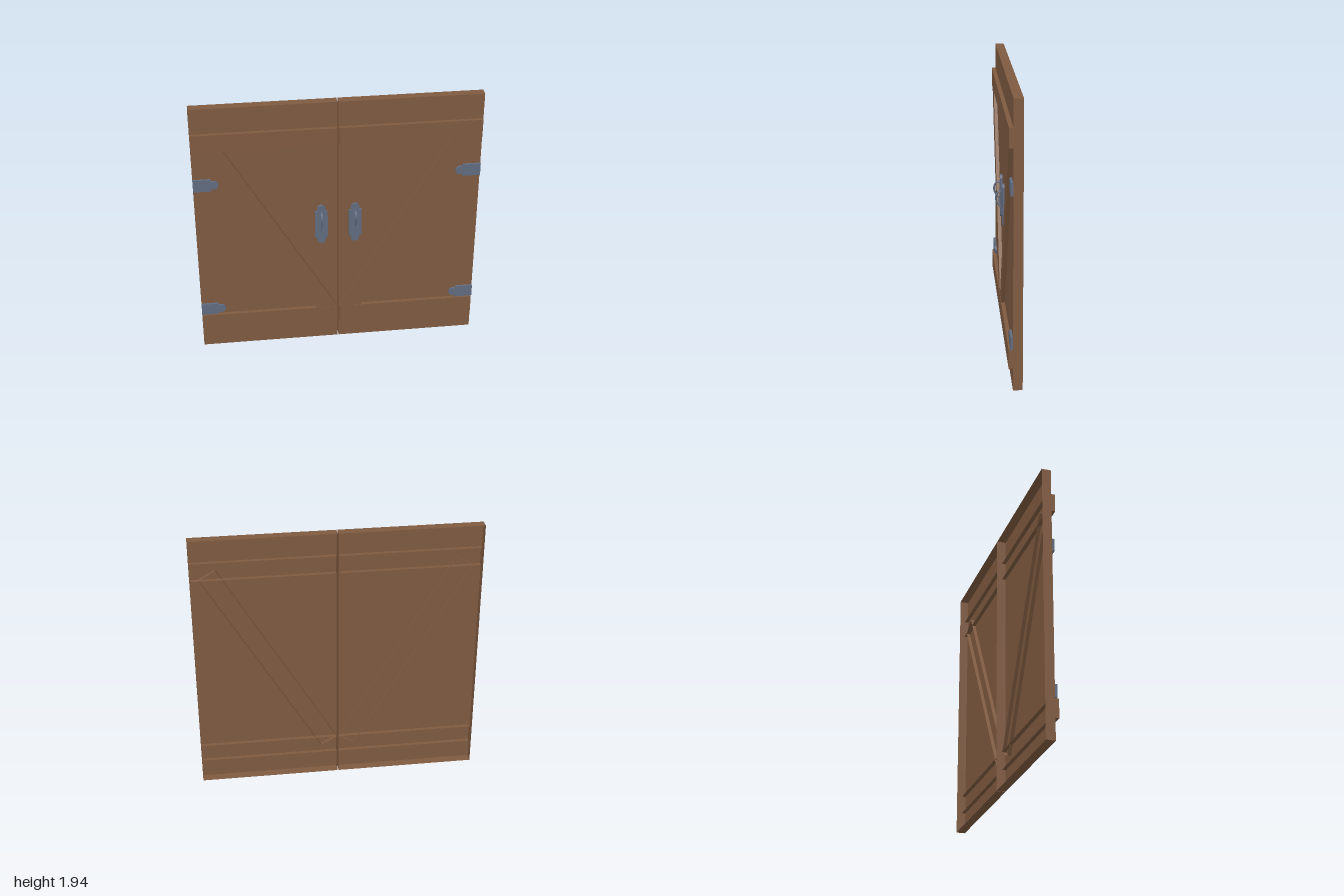
import * as THREE from 'three';

const wood = new THREE.MeshStandardMaterial({ color: 0x7f5a40, side: THREE.DoubleSide });
const metal = new THREE.MeshStandardMaterial({ color: 0x616c80, side: THREE.DoubleSide });

function add(parent, name, geometry, material, x, y, z) {
  const mesh = new THREE.Mesh(geometry, material);
  mesh.name = name;
  mesh.position.set(x, y, z);
  parent.add(mesh);
  return mesh;
}

// Box without its rear face, spanning zBack to zFront
function openBox(w, h, zBack, zFront) {
  const g = new THREE.BoxGeometry(w, h, zFront - zBack);
  g.setIndex(Array.from(g.index.array).slice(0, 30));
  g.clearGroups();
  g.translate(0, 0, (zFront + zBack) / 2);
  return g;
}

// Flat plate along x with a stepped, rounded tip at one end or both
function plate(start, end, bothEnds) {
  const half = 0.045, neck = 0.03, shoulder = 0.02;
  const s = new THREE.Shape();
  s.moveTo(start, -half);
  s.lineTo(end, -half);
  s.lineTo(end, -neck);
  s.lineTo(end + shoulder, -neck);
  s.absarc(end + shoulder, 0, neck, -Math.PI / 2, Math.PI / 2, false);
  s.lineTo(end, neck);
  s.lineTo(end, half);
  s.lineTo(start, half);
  if (bothEnds) {
    s.lineTo(start, neck);
    s.lineTo(start - shoulder, neck);
    s.absarc(start - shoulder, 0, neck, Math.PI / 2, Math.PI * 1.5, false);
    s.lineTo(start, -neck);
  }
  s.closePath();
  return new THREE.ExtrudeGeometry(s, { depth: 0.016, bevelEnabled: false, curveSegments: 8 });
}

// Curved pull: a bowed strip that narrows to a point at its lower end
function pull() {
  const path = new THREE.CatmullRomCurve3([
    [1.095, 0.012], [1.094, 0.04], [1.07, 0.057], [1.035, 0.059],
    [1.0, 0.044], [0.98, 0.026], [0.94, 0.02],
  ].map(([y, z]) => new THREE.Vector3(0, y, z)));
  const g = new THREE.TubeGeometry(path, 28, 0.006, 8, false);
  const p = g.attributes.position;
  for (let i = 0; i < p.count; i++) {
    const t = THREE.MathUtils.clamp((p.getY(i) - 0.94) / 0.15, 0.15, 1);
    p.setX(i, p.getX(i) * 1.6 * t);
  }
  g.computeVertexNormals();
  return g;
}

// One door leaf; side is +1 for the left leaf, -1 for the right
function doorLeaf(side) {
  const leaf = new THREE.Group();
  leaf.name = side > 0 ? 'leftDoor' : 'rightDoor';

  add(leaf, 'panel', openBox(0.996, 1.94, -0.064, 0), wood, side * 0.502, 0.97, 0);

  // Horizontal battens
  for (const [name, y] of [['lowerBatten', 0.217], ['upperBatten', 1.692]]) {
    add(leaf, name, openBox(0.988, 0.13, -0.028, 0.028), wood, side * 0.5, y, 0);
  }

  // Diagonal brace
  const brace = add(leaf, 'diagonalBrace', openBox(0.134, 1.637, -0.025, 0.025), wood, side * 0.4725, 0.955, 0);
  brace.rotation.z = -side * Math.PI / 6;

  // Hinges reach inwards from the outer edge
  for (const [name, y] of [['lowerHinge', 0.33], ['upperHinge', 1.365]]) {
    const hinge = add(leaf, name, plate(0, 0.125, false), metal, side, y, 0.001);
    if (side > 0) hinge.rotation.z = Math.PI;
  }

  // Handle
  const back = add(leaf, 'handlePlate', plate(-0.105, 0.105, true), metal, side * 0.12, 0.995, 0.001);
  back.rotation.z = Math.PI / 2;
  add(leaf, 'handlePull', pull(), metal, side * 0.12, 0, 0);
  return leaf;
}

export function createModel() {
  const model = new THREE.Group();
  model.name = 'barnDoors';
  model.add(doorLeaf(1), doorLeaf(-1));
  return model;
}
